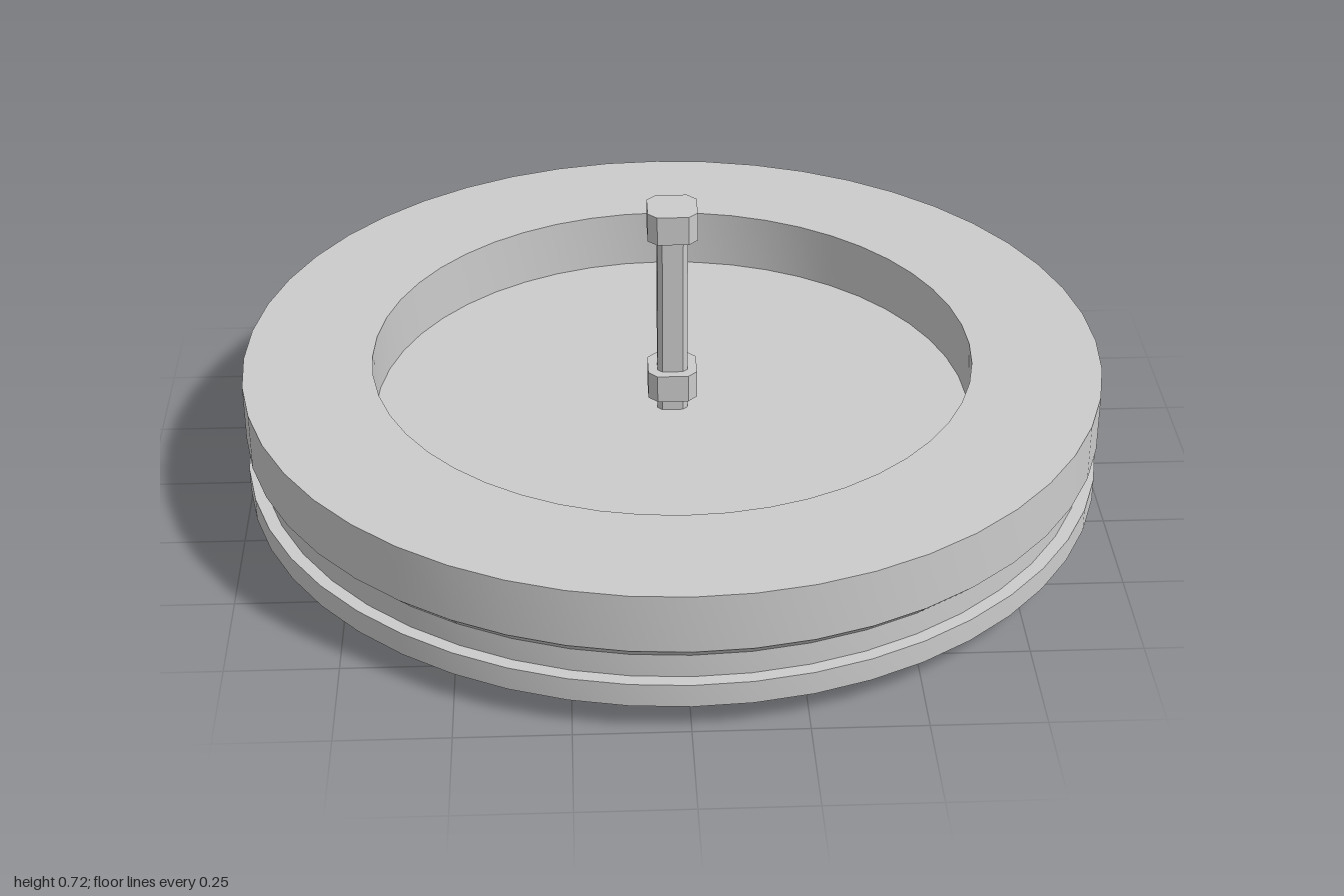
import * as THREE from 'three';
import { toCreasedNormals } from 'three/addons/utils/BufferGeometryUtils.js';

const material = new THREE.MeshStandardMaterial({ color: 0xcccccc });

// Upright prism with a corner-cut square section: half = half width, flat = half length of each flat
function prism(name, half, flat, y0, y1) {
  const corners = [
    [half, -flat], [half, flat], [flat, half], [-flat, half],
    [-half, flat], [-half, -flat], [-flat, -half], [flat, -half],
  ].map(([x, y]) => new THREE.Vector2(x, y));
  const geometry = new THREE.ExtrudeGeometry(new THREE.Shape(corners), { depth: y1 - y0, bevelEnabled: false });
  geometry.rotateX(-Math.PI / 2);
  geometry.translate(0, y0, 0);
  const mesh = new THREE.Mesh(geometry, material);
  mesh.name = name;
  return mesh;
}

export function createModel() {
  const model = new THREE.Group();
  model.name = 'pulleyWheel';

  // Wheel: flange, groove, chamfered rim and a round recess in the top
  const profile = [
    [0, 0.065], [1, 0.065], [1, 0.12], [0.97, 0.12], [0.97, 0.175],
    [1, 0.205], [1, 0.343], [0.7, 0.343], [0.7, 0.2], [0, 0.2],
  ].map(([r, y]) => new THREE.Vector2(r, y));
  const wheel = new THREE.Mesh(toCreasedNormals(new THREE.LatheGeometry(profile, 48), 0.5), material);
  wheel.name = 'wheel';
  model.add(wheel);

  // Axle with a head at each end and a collar just above the recess floor
  model.add(
    prism('axle', 0.035, 0.024, 0.03, 0.68),
    prism('bottomHead', 0.057, 0.036, 0, 0.068),
    prism('collar', 0.057, 0.036, 0.235, 0.303),
    prism('topHead', 0.057, 0.036, 0.65, 0.72),
  );
  return model;
}
